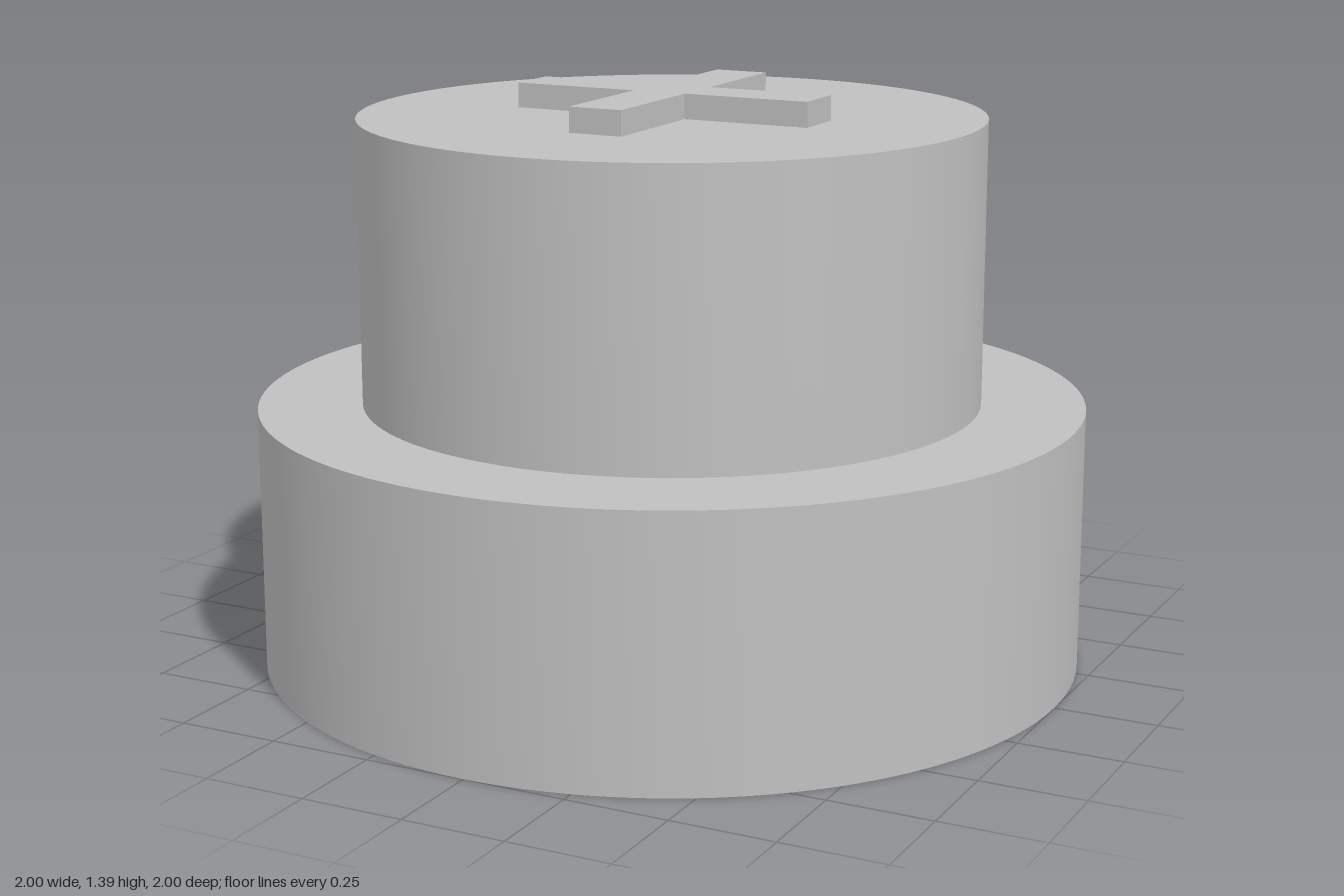
import * as THREE from 'three';
import { toCreasedNormals } from 'three/addons/utils/BufferGeometryUtils.js';

const BASE_TOP = 0.64, BODY_TOP = 1.33, CROSS_TOP = 1.39;

// Turned part from [radius, height] points, with sharp rims
function turned(name, profile, material) {
  const points = profile.map(([r, y]) => new THREE.Vector2(r, y));
  const geometry = toCreasedNormals(new THREE.LatheGeometry(points, 128), 0.6);
  const mesh = new THREE.Mesh(geometry, material);
  mesh.name = name;
  return mesh;
}

// Plus-shaped outline with arm half-length a and half-width w
function crossShape(a, w) {
  const corners = [
    [w, w], [w, a], [-w, a], [-w, w], [-a, w], [-a, -w],
    [-w, -w], [-w, -a], [w, -a], [w, -w], [a, -w], [a, w],
  ];
  return new THREE.Shape(corners.map(([x, y]) => new THREE.Vector2(x, y)));
}

export function createModel() {
  const model = new THREE.Group();
  model.name = 'steppedCap';
  const grey = new THREE.MeshStandardMaterial({ color: 0xc0c0c0 });
  grey.name = 'grey';

  // Wide foot with its ledge, then the narrower drum
  model.add(turned('base', [[0, 0], [1, 0], [1, BASE_TOP], [0.75, BASE_TOP]], grey));
  model.add(turned('upperDrum', [[0.75, BASE_TOP], [0.75, BODY_TOP], [0, BODY_TOP]], grey));

  // Raised cross on the top face
  const cross = new THREE.Mesh(
    new THREE.ExtrudeGeometry(crossShape(0.383, 0.067), {
      depth: CROSS_TOP - BODY_TOP, bevelEnabled: false,
    }), grey);
  cross.name = 'raisedCross';
  cross.rotation.x = -Math.PI / 2;
  cross.position.y = BODY_TOP;
  model.add(cross);

  return model;
}
